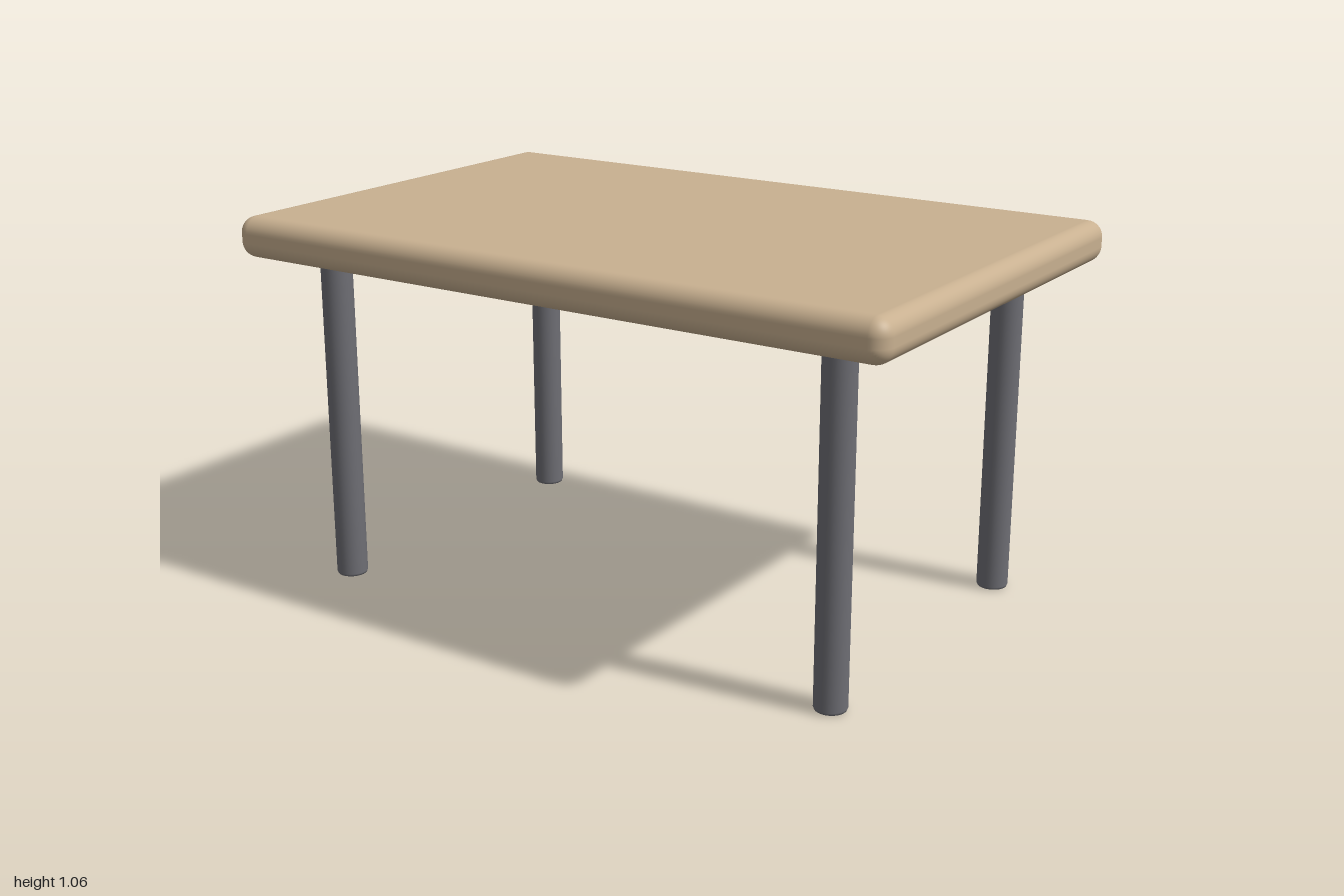
import * as THREE from 'three';
import { RoundedBoxGeometry } from 'three/addons/geometries/RoundedBoxGeometry.js';

export function createModel() {
  const table = new THREE.Group();
  table.name = 'table';
  const wood = new THREE.MeshStandardMaterial({ color: 0xc8b090 });
  const metal = new THREE.MeshStandardMaterial({ color: 0x6e6e74 });

  // Slab with rounded edges
  const top = new THREE.Mesh(new RoundedBoxGeometry(2, 0.115, 1.296, 6, 0.045), wood);
  top.name = 'tableTop';
  top.position.y = 1.003;
  table.add(top);

  // Round leg with a small bevel at the foot, running up into the slab
  const r = 0.044, bevel = 0.01;
  const side = [[r - bevel, 0], [r - 0.003, 0.003], [r, bevel], [r, 0.96]];
  const legGeometry = new THREE.LatheGeometry(side.map(([x, y]) => new THREE.Vector2(x, y)), 32);
  const soleGeometry = new THREE.CircleGeometry(r - bevel, 32).rotateX(Math.PI / 2);

  for (const [zName, z] of [['front', 0.473], ['back', -0.473]]) {
    for (const [xName, x] of [['Left', 0.795], ['Right', -0.795]]) {
      const leg = new THREE.Group();
      leg.name = `${zName}${xName}Leg`;
      const post = new THREE.Mesh(legGeometry, metal);
      post.name = 'post';
      const sole = new THREE.Mesh(soleGeometry, metal);
      sole.name = 'sole';
      leg.add(post, sole);
      leg.position.set(x, 0, z);
      table.add(leg);
    }
  }
  return table;
}
